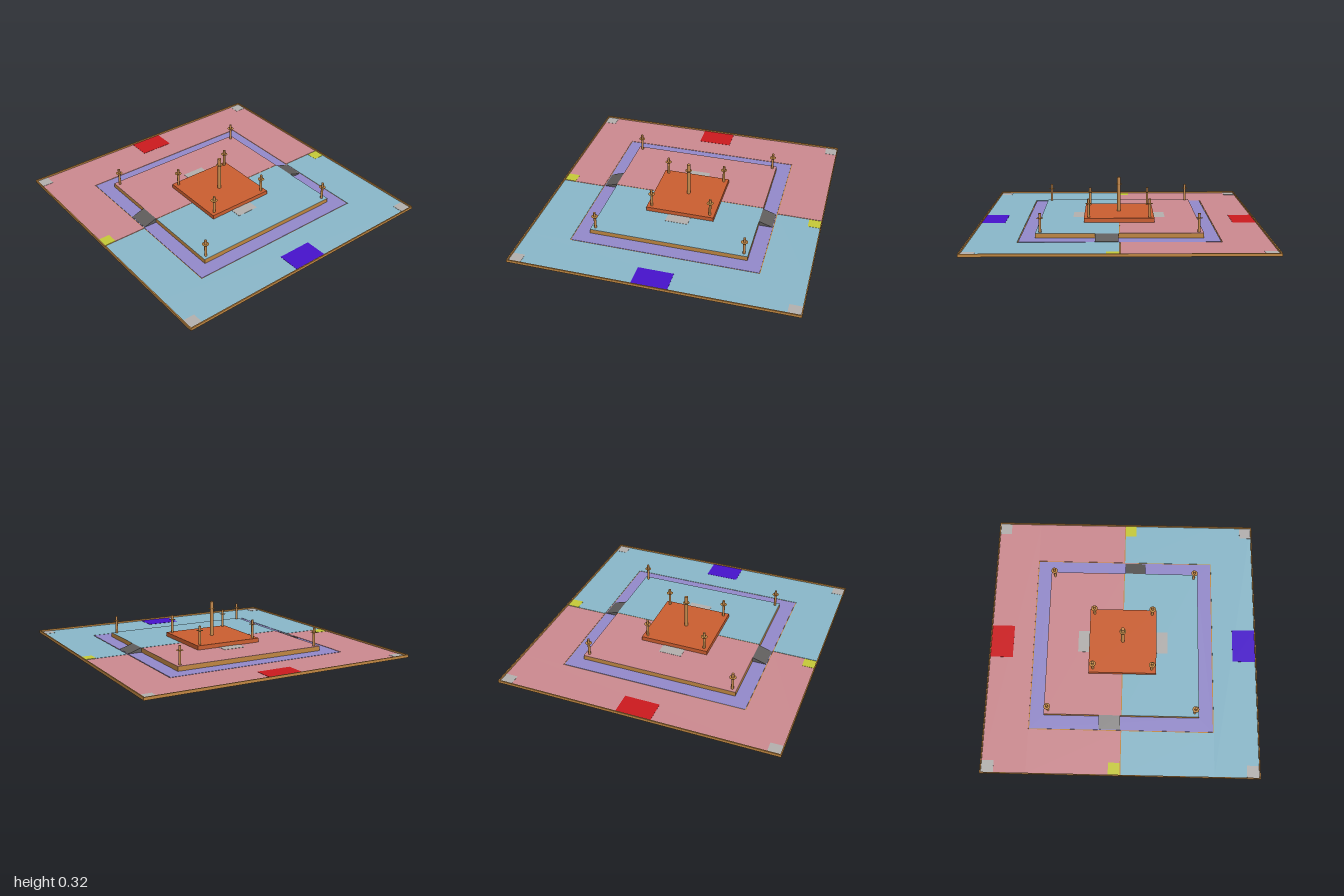
import * as THREE from 'three';

const mat = (color) => new THREE.MeshStandardMaterial({ color, flatShading: true, side: THREE.DoubleSide });
const WOOD = mat(0xc08742), PINK = mat(0xcc8a90), AQUA = mat(0x8ab8ca), PURPLE = mat(0x938acb);
const GREY = mat(0xb3b0ae), YELLOW = mat(0xc6ca38), RED = mat(0xcc1a1e), BLUE = mat(0x4712cc);
const ORANGE = mat(0xcb5e30), DARK = mat(0x605d5c);

export function createModel() {
  const model = new THREE.Group();
  const add = (name, geometry, material, x = 0, y = 0, z = 0) => {
    const mesh = new THREE.Mesh(geometry, material);
    mesh.name = name;
    mesh.position.set(x, y, z);
    model.add(mesh);
    return mesh;
  };
  // Box given by its extents
  const slab = (name, material, x0, x1, y0, y1, z0, z1) =>
    add(name, new THREE.BoxGeometry(x1 - x0, y1 - y0, z1 - z0), material,
      (x0 + x1) / 2, (y0 + y1) / 2, (z0 + z1) / 2);
  // Flat square frame, y0 to y0 + h
  const frame = (name, material, outer, inner, y0, h) => {
    const square = (Type, r) => new Type([[-r, -r], [r, -r], [r, r], [-r, r]].map(([x, y]) => new THREE.Vector2(x, y)));
    const shape = square(THREE.Shape, outer);
    shape.holes.push(square(THREE.Path, inner));
    const geometry = new THREE.ExtrudeGeometry(shape, { depth: h, bevelEnabled: false });
    geometry.rotateX(-Math.PI / 2);
    add(name, geometry, material, 0, y0, 0);
  };

  const FLOOR = 0.007, DECK = 0.04, IN = 0.565, OUT = 0.667, GAP = 0.003;

  // Base board with raised rim
  slab('baseBoard', WOOD, -1, 1, 0, 0.004, -1, 1);
  frame('rim', WOOD, 1, 0.992, 0, 0.02);

  // Two coloured floor halves and the raised deck
  slab('platform', WOOD, -IN, IN, 0.004, DECK - 0.002, -IN, IN);
  for (const s of [-1, 1]) {
    const material = s < 0 ? PINK : AQUA;
    const half = (name, a, b, y0, y1, z0, z1) =>
      slab(name, material, Math.min(s * a, s * b), Math.max(s * a, s * b), y0, y1, z0, z1);
    half('floorSide', OUT + 0.006, 0.992, 0.004, FLOOR, -0.992, 0.992);
    half('floorFront', GAP, OUT + 0.006, 0.004, FLOOR, OUT + 0.006, 0.992);
    half('floorBack', GAP, OUT + 0.006, 0.004, FLOOR, -0.992, -OUT - 0.006);
    half('deckSurface', GAP, IN, DECK - 0.002, DECK, -IN, IN);
  }
  frame('trench', PURPLE, OUT, IN, 0.004, FLOOR - 0.004);

  // Ramps up to the deck, front and back
  const wedge = new THREE.Shape();
  wedge.moveTo(IN, 0.004);
  wedge.lineTo(OUT - 0.004, 0.004);
  wedge.lineTo(OUT - 0.004, FLOOR + 0.001);
  wedge.lineTo(IN, DECK);
  for (const turn of [0, Math.PI]) {
    const geometry = new THREE.ExtrudeGeometry(wedge, { depth: 0.157, bevelEnabled: false });
    geometry.rotateY(-Math.PI / 2);
    geometry.translate(-0.007, 0, 0);
    geometry.rotateY(turn);
    add('ramp', geometry, DARK);
  }

  // Floor markers
  const T = FLOOR + 0.0015;
  for (const sx of [-1, 1]) {
    for (const sz of [-1, 1]) {
      slab('cornerMarker', GREY, sx * 0.9485 - 0.0435, sx * 0.9485 + 0.0435, 0.004, T, sz * 0.9485 - 0.0435, sz * 0.9485 + 0.0435);
    }
    slab('startZone', sx < 0 ? RED : BLUE, sx * 0.908 - 0.084, sx * 0.908 + 0.084, 0.004, T, -0.125, 0.125);
    slab('edgeMarker', YELLOW, sx * 0.045 - 0.042, sx * 0.045 + 0.042, 0.004, T, -sx * 0.9485 - 0.0435, -sx * 0.9485 + 0.0435);
    slab('deckMarker', GREY, sx * 0.29 - 0.043, sx * 0.29 + 0.043, DECK - 0.002, DECK + 0.0015, -0.083, 0.083);
  }

  // Central block
  slab('centreBlock', ORANGE, -0.25, 0.25, DECK, 0.07, -0.25, 0.25);

  // Poles, each with a thin collar
  const pole = (name, x, z, r, y0, y1, collarY) => {
    const h = y1 - y0;
    add(name, new THREE.CylinderGeometry(r, r, h, 20), new THREE.MeshStandardMaterial({ color: 0xc68a4c }), x, y0 + h / 2, z);
    const ring = new THREE.RingGeometry(r, 0.024, 24);
    ring.rotateX(-Math.PI / 2);
    add(name + 'Collar', ring, WOOD, x, collarY, z);
  };
  for (const sx of [-1, 1]) {
    for (const sz of [-1, 1]) {
      pole('deckPole', sx * 0.534, sz * 0.534, 0.009, DECK, 0.17, 0.137);
      pole('blockPole', sx * 0.217, sz * 0.217, 0.009, 0.07, 0.203, 0.17);
    }
  }
  pole('centrePole', 0, 0, 0.013, 0.07, 0.322, 0.27);

  return model;
}
